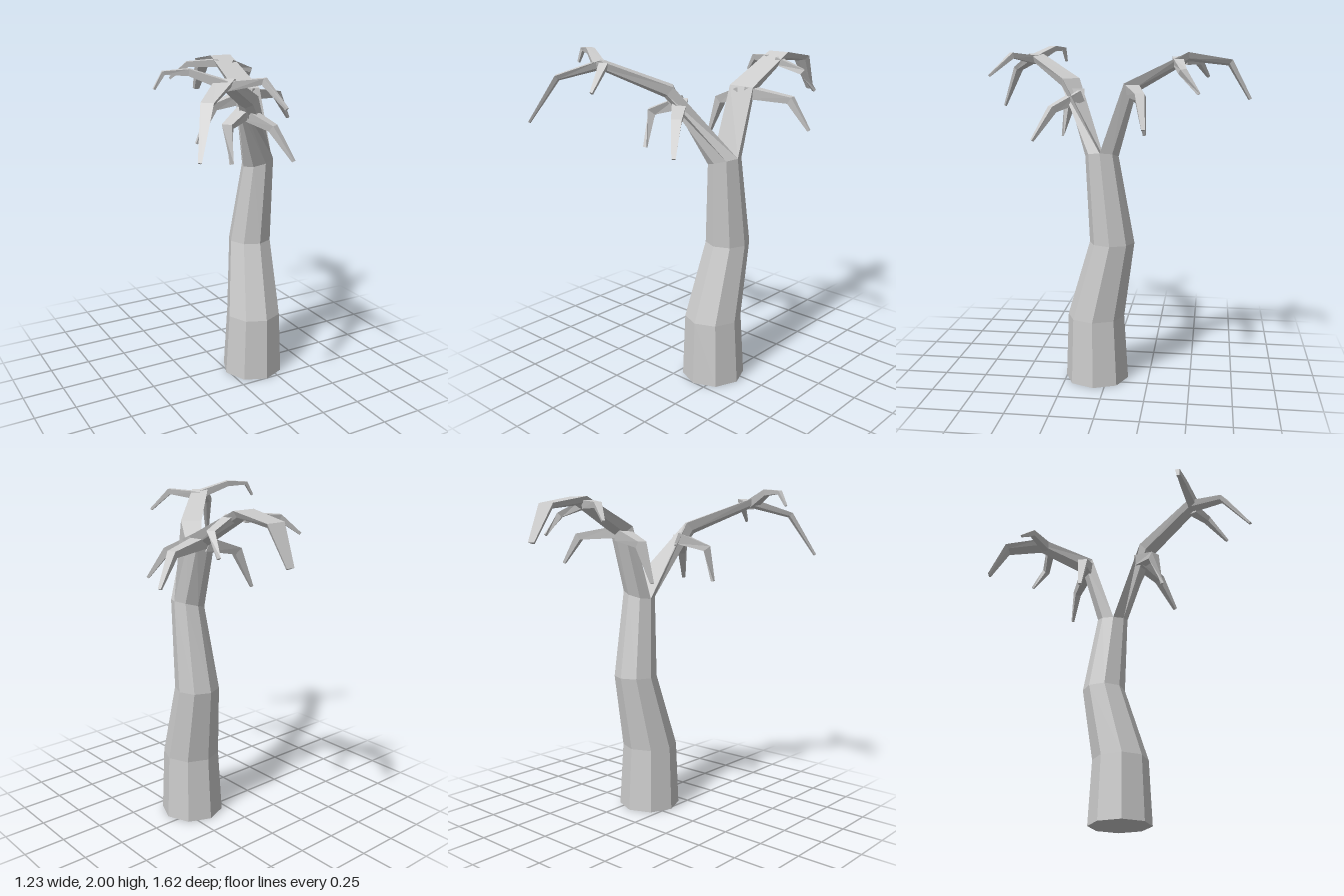
import * as THREE from 'three';

const material = new THREE.MeshStandardMaterial({ color: 0xcccccc, flatShading: true });
const V = (x, y, z) => new THREE.Vector3(x, y, z);
const UP = V(0, 1, 0);

// Skin a list of equal-length rings and close both ends
function loft(name, rings) {
  const pos = [];
  const tri = (...pts) => pts.forEach((p) => pos.push(p.x, p.y, p.z));
  const n = rings[0].length;
  for (let r = 0; r < rings.length - 1; r++) {
    const a = rings[r], b = rings[r + 1];
    for (let i = 0; i < n; i++) {
      const j = (i + 1) % n;
      tri(a[i], b[i], b[j]);
      tri(a[i], b[j], a[j]);
    }
  }
  const first = rings[0], last = rings[rings.length - 1];
  for (let i = 1; i < n - 1; i++) {
    tri(first[0], first[i], first[i + 1]);
    tri(last[0], last[i + 1], last[i]);
  }
  const geo = new THREE.BufferGeometry();
  geo.setAttribute('position', new THREE.Float32BufferAttribute(pos, 3));
  geo.computeVertexNormals();
  const mesh = new THREE.Mesh(geo, material);
  mesh.name = name;
  return mesh;
}

// Flat-topped cross-sections: u runs sideways, v runs to the underside
const HALF_OCTAGON = [0, 1, 2, 3, 4].map((i) => [Math.cos(i * Math.PI / 4), Math.sin(i * Math.PI / 4)]);
const WEDGE = [[1, 0], [0.75, 1], [-0.75, 1], [-1, 0]];

// Rings along a path; each station is [x, y, z, halfWidth, depth] on the top face
function sweep(stations, section) {
  const pts = stations.map(([x, y, z]) => V(x, y, z));
  return stations.map(([, , , w, h], k) => {
    const t = V(0, 0, 0);
    if (k > 0) t.add(pts[k].clone().sub(pts[k - 1]).normalize());
    if (k < pts.length - 1) t.add(pts[k + 1].clone().sub(pts[k]).normalize());
    t.normalize();
    const side = UP.clone().cross(t).normalize();
    const under = side.clone().cross(t);
    return section.map(([u, v]) => pts[k].clone().addScaledVector(side, u * w).addScaledVector(under, v * h));
  });
}

export function createModel() {
  const tree = new THREE.Group();
  tree.name = 'bareTree';

  // Trunk: eight-sided, bending back and narrowing to a slanted fork
  const trunk = [
    [0.17, 0, 0.065, 0.19, 0],
    [0.17, 0.395, 0.07, 0.17, 0],
    [0.197, 0.855, -0.03, 0.132, 0],
    [0.215, 1.365, 0.027, 0.097, 0.027],
  ].map(([x, y, z, r, tilt]) => Array.from({ length: 8 }, (_, i) => {
    const a = i * Math.PI / 4;
    return V(x + r * Math.cos(a), y + tilt * Math.cos(a), z + r * Math.sin(a));
  }));
  tree.add(loft('trunk', trunk));

  // Two limbs, each growing from one half of the trunk's top ring
  const top = trunk[3];
  const limbs = {
    frontLimb: [[0, 1, 2, 3, 4], [
      [0.215, 1.365, 0.027, 0.097, 0.097],
      [0.015, 1.8, 0.24, 0.062, 0.08],
      [-0.275, 1.945, 0.515, 0.05, 0.055],
      [-0.465, 1.86, 0.68, 0.034, 0.035],
      [-0.57, 1.605, 0.805, 0.01, 0.015],
    ]],
    backLimb: [[4, 5, 6, 7, 0], [
      [0.215, 1.365, 0.027, 0.097, 0.097],
      [0.22, 1.78, -0.11, 0.085, 0.08],
      [0.224, 1.95, -0.46, 0.07, 0.05],
      [0.224, 1.91, -0.7, 0.06, 0.04],
      [0.224, 1.7, -0.81, 0.026, 0.02],
    ]],
  };
  for (const [name, [slots, stations]] of Object.entries(limbs)) {
    const rings = sweep(stations, HALF_OCTAGON);
    rings[0] = slots.map((i) => top[i]);
    tree.add(loft(name, rings));
  }

  // Drooping twigs in pairs along the limbs: [x, y, z, halfWidth, depth]
  const twigs = {
    backLimbLowerLeftTwig: [[0.24, 1.78, -0.14, 0.042, 0.07], [0.505, 1.735, -0.215, 0.026, 0.045], [0.61, 1.555, -0.245, 0.01, 0.015]],
    backLimbLowerRightTwig: [[0.2, 1.77, -0.14, 0.045, 0.08], [0.0, 1.695, -0.175, 0.03, 0.05], [-0.095, 1.46, -0.19, 0.01, 0.015]],
    backLimbUpperLeftTwig: [[0.26, 1.925, -0.4, 0.03, 0.045], [0.425, 1.86, -0.44, 0.022, 0.035], [0.445, 1.735, -0.53, 0.01, 0.015]],
    backLimbUpperRightTwig: [[0.19, 1.93, -0.43, 0.035, 0.05], [0.01, 1.915, -0.515, 0.022, 0.035], [-0.09, 1.815, -0.57, 0.008, 0.015]],
    frontLimbLowerLeftTwig: [[0.03, 1.73, 0.2, 0.045, 0.07], [0.135, 1.64, 0.345, 0.03, 0.045], [0.205, 1.45, 0.445, 0.012, 0.015]],
    frontLimbLowerRightTwig: [[0.03, 1.74, 0.2, 0.045, 0.07], [-0.14, 1.66, 0.285, 0.03, 0.05], [-0.13, 1.445, 0.33, 0.012, 0.015]],
    frontLimbUpperLeftTwig: [[-0.27, 1.93, 0.51, 0.035, 0.05], [-0.115, 1.95, 0.635, 0.024, 0.035], [-0.065, 1.815, 0.77, 0.008, 0.015]],
    frontLimbUpperRightTwig: [[-0.27, 1.935, 0.53, 0.035, 0.05], [-0.44, 1.995, 0.44, 0.024, 0.035], [-0.565, 1.985, 0.39, 0.014, 0.022], [-0.615, 1.9, 0.385, 0.008, 0.012]],
  };
  for (const [name, stations] of Object.entries(twigs)) tree.add(loft(name, sweep(stations, WEDGE)));

  return tree;
}
